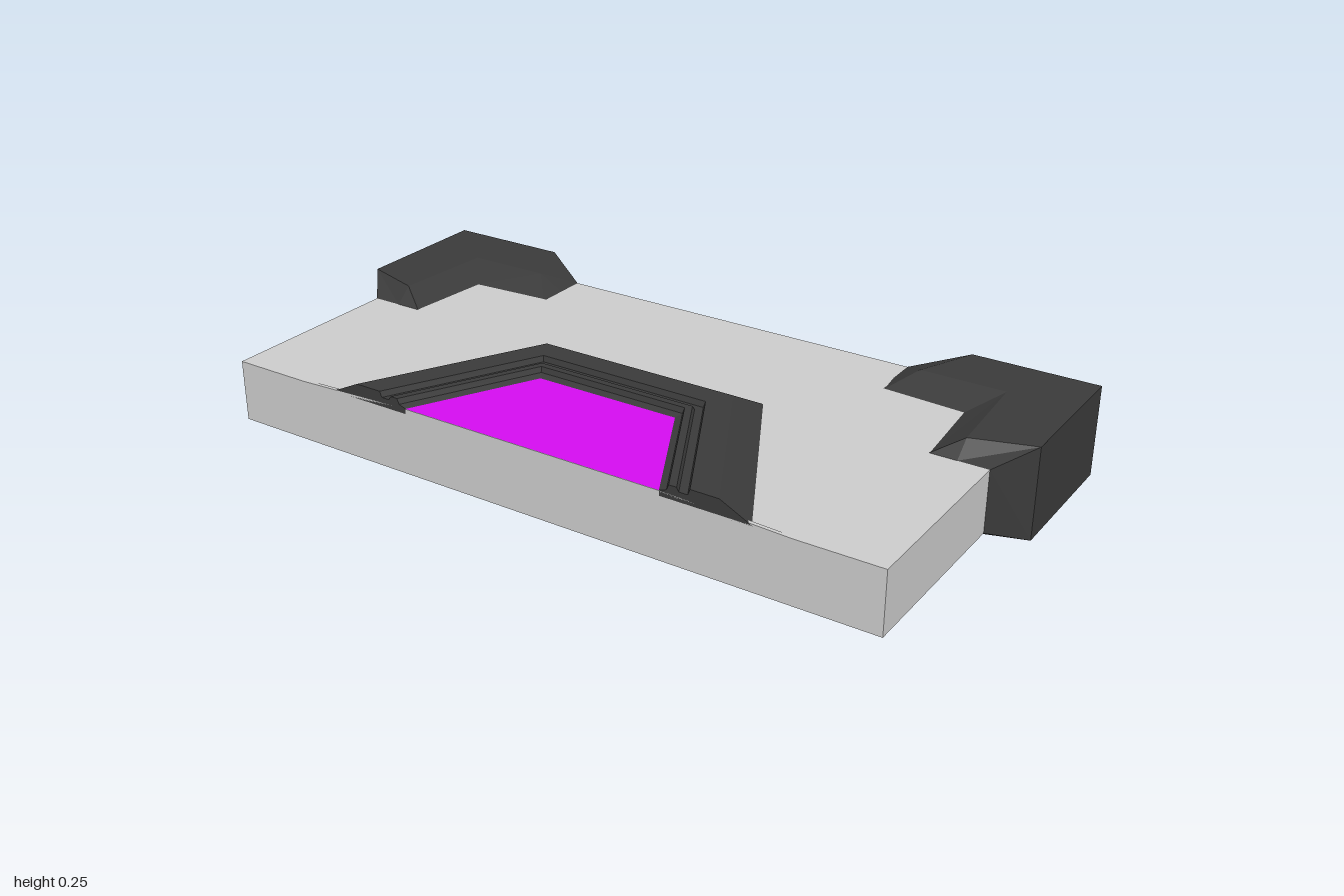
import * as THREE from 'three';

const mat = (color, side = THREE.FrontSide) =>
  new THREE.MeshStandardMaterial({ color, flatShading: true, side });

const SLAB_TOP = 0.205, SLAB_BOTTOM = 0.04, FRONT = 0.5;

// Joins equal-length closed rings of [x, y, z] points; mirror flips across x = 0.
function loft(rings, { caps = false, mirror = false } = {}) {
  const out = [];
  const tri = (a, b, c) => {
    for (const p of mirror ? [a, c, b] : [a, b, c]) out.push(mirror ? -p[0] : p[0], p[1], p[2]);
  };
  const n = rings[0].length;
  for (let i = 0; i < rings.length - 1; i++) {
    for (let j = 0; j < n; j++) {
      const k = (j + 1) % n, r = rings[i], s = rings[i + 1];
      tri(r[j], r[k], s[k]);
      tri(r[j], s[k], s[j]);
    }
  }
  if (caps) {
    const first = rings[0], last = rings[rings.length - 1];
    for (let j = 1; j < n - 1; j++) {
      tri(first[0], first[j + 1], first[j]);
      tri(last[0], last[j], last[j + 1]);
    }
  }
  const g = new THREE.BufferGeometry();
  g.setAttribute('position', new THREE.Float32BufferAttribute(out, 3));
  g.computeVertexNormals();
  return g;
}

// L-shaped corner guard: each station is inner, ridge, outer [x, z] and low/high y.
function cornerGuard(mirror) {
  const stations = [
    { pts: [[0.52, -0.27], [0.52, -0.34], [0.52, -0.42]], y: [SLAB_BOTTOM, SLAB_TOP] },
    { pts: [[0.53, -0.27], [0.59, -0.34], [0.66, -0.5]], y: [0, 0.245] },
    { pts: [[0.75, -0.255], [0.82, -0.34], [1, -0.5]], y: [0, 0.245] },
    { pts: [[0.77, -0.03], [0.84, -0.06], [1, -0.11]], y: [0, 0.245] },
    { pts: [[0.77, -0.015], [0.84, -0.015], [0.92, -0.015]], y: [SLAB_BOTTOM, SLAB_TOP] },
  ];
  const rings = stations.map(({ pts: [inner, ridge, outer], y: [lo, hi] }) => [
    [inner[0], SLAB_BOTTOM, inner[1]], [ridge[0], lo, ridge[1]], [outer[0], lo, outer[1]],
    [outer[0], hi, outer[1]], [ridge[0], hi, ridge[1]], [inner[0], SLAB_TOP, inner[1]],
  ]);
  return loft(rings, { caps: true, mirror });
}

// Trapezoid outline inset by t: half widths at front and back, and back z.
const inset = (t) => ({ front: 0.605 - 1.143 * t, back: 0.325 - 0.595 * t, z: -0.03 + t });

export function createModel() {
  const model = new THREE.Group();
  const grey = mat(0xcccccc), dark = mat(0x3a3a3a), purple = mat(0xd40cf0);
  const darkThin = mat(0x3a3a3a, THREE.DoubleSide);
  const add = (name, geometry, material, parent = model) => {
    const m = new THREE.Mesh(geometry, material);
    m.name = name;
    parent.add(m);
    return m;
  };

  // Main slab
  const slab = new THREE.BoxGeometry(1.84, SLAB_TOP - SLAB_BOTTOM, 0.92);
  slab.translate(0, (SLAB_TOP + SLAB_BOTTOM) / 2, 0.04);
  add('slab', slab, grey);

  // Slightly raised front lip below the panel
  const lip = new THREE.Shape([
    [-0.7, 0.2], [0.7, 0.2], [0.7, SLAB_TOP], [0.38, 0.218], [-0.38, 0.218], [-0.7, SLAB_TOP],
  ].map(([x, y]) => new THREE.Vector2(x, y)));
  const lipGeo = new THREE.ExtrudeGeometry(lip, { depth: 0.01, bevelEnabled: false });
  add('frontLip', lipGeo.translate(0, 0, FRONT - 0.01), grey);

  // Rear corner guards
  add('leftCornerGuard', cornerGuard(false), dark);
  add('rightCornerGuard', cornerGuard(true), dark);

  // Stepped frame: [inset, height] profile carried round three sides
  const profile = [
    [0.21, 0.2], [0, 0.203], [0.075, 0.245], [0.14, 0.245], [0.145, 0.23],
    [0.165, 0.23], [0.17, 0.24], [0.188, 0.24], [0.193, 0.226], [0.21, 0.219],
  ];
  const station = (side, end) => profile.map(([t, y]) => {
    const f = inset(t);
    return [side * f[end], y, end === 'front' ? FRONT : f.z];
  });
  const frame = new THREE.Group();
  frame.name = 'panelFrame';
  model.add(frame);
  add('frameRails', loft([
    station(-1, 'front'), station(-1, 'back'), station(1, 'back'), station(1, 'front'),
  ]), dark, frame);
  for (const side of [-1, 1]) {
    const end = new THREE.Shape(station(side, 'front').map(([x, y]) => new THREE.Vector2(x, y)));
    add('frameEnd', new THREE.ShapeGeometry(end).translate(0, 0, FRONT), darkThin, frame);
  }

  // Coloured panel inside the frame
  const p = inset(0.21);
  const panel = new THREE.Shape([
    [-p.front, -FRONT], [p.front, -FRONT], [p.back, -p.z], [-p.back, -p.z],
  ].map(([x, y]) => new THREE.Vector2(x, y)));
  const panelGeo = new THREE.ShapeGeometry(panel).rotateX(-Math.PI / 2).translate(0, 0.219, 0);
  add('panel', panelGeo, purple);

  return model;
}
